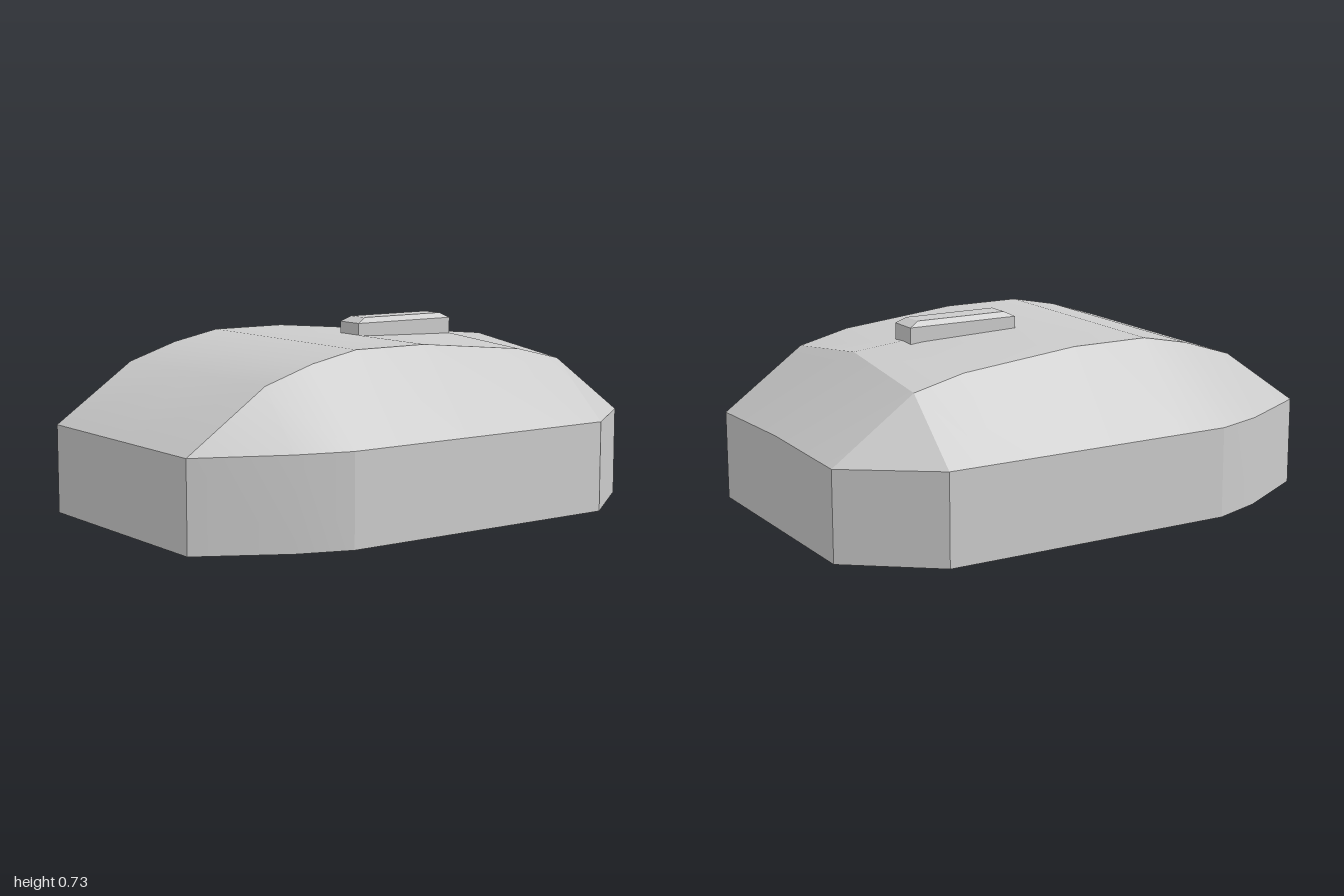
import * as THREE from 'three';
import { toCreasedNormals } from 'three/addons/utils/BufferGeometryUtils.js';

// Skins a row of equal-length rings and closes both ends
function loft(rings, crease) {
  const out = [];
  const tri = (a, b, c) => {
    const area = b.clone().sub(a).cross(c.clone().sub(a)).length();
    if (area > 1e-6) for (const p of [a, b, c]) out.push(p.x, p.y, p.z);
  };
  const n = rings[0].length;
  for (let i = 0; i < rings.length - 1; i++) {
    for (let j = 0; j < n; j++) {
      const k = (j + 1) % n;
      const a = rings[i][j], b = rings[i][k], c = rings[i + 1][k], d = rings[i + 1][j];
      tri(a, b, c);
      tri(a, c, d);
    }
  }
  const first = rings[0], last = rings[rings.length - 1];
  for (let j = 1; j < n - 1; j++) {
    tri(first[0], first[j + 1], first[j]);
    tri(last[0], last[j], last[j + 1]);
  }
  const geometry = new THREE.BufferGeometry();
  geometry.setAttribute('position', new THREE.Float32BufferAttribute(out, 3));
  return toCreasedNormals(geometry, crease);
}

export function createModel() {
  const group = new THREE.Group();
  const material = new THREE.MeshStandardMaterial({ color: 0xcccccc });
  const add = (name, geometry) => {
    const mesh = new THREE.Mesh(geometry, material);
    mesh.name = name;
    group.add(mesh);
  };
  const v = (x, y, z) => new THREE.Vector3(x, y, z);

  // Shell stations, back to front: z, wall half-width, rim, top edge and crown heights
  const edgeX = 0.47;
  const stations = [
    [-1, 0.47, 0.34, 0.34, 0.352],
    [-0.68, 0.72, 0.345, 0.567, 0.627],
    [-0.48, 0.72, 0.345, 0.615, 0.646],
    [-0.02, 0.72, 0.345, 0.66, 0.66],
    [0.29, 0.72, 0.345, 0.66, 0.66],
    [0.48, 0.72, 0.345, 0.622, 0.622],
    [0.68, 0.65, 0.343, 0.558, 0.558],
    [1, 0.47, 0.338, 0.338, 0.338],
  ];
  add('shell', loft(stations.map(([z, w, rim, edge, crown]) => [
    v(-w, 0, z), v(w, 0, z), v(w, rim, z), v(edgeX, edge, z),
    v(0, crown, z), v(-edgeX, edge, z), v(-w, rim, z),
  ]), 0.3));

  // Raised bar on the top with a bevelled upper edge: y, half-width, back z, front z
  const levels = [
    [0.58, 0.06, -0.475, -0.025],
    [0.705, 0.06, -0.475, -0.025],
    [0.725, 0.045, -0.435, -0.065],
  ];
  add('topBar', loft(levels.map(([y, w, back, front]) => [
    v(-w, y, front), v(w, y, front), v(w, y, back), v(-w, y, back),
  ]), 0.3));

  return group;
}
